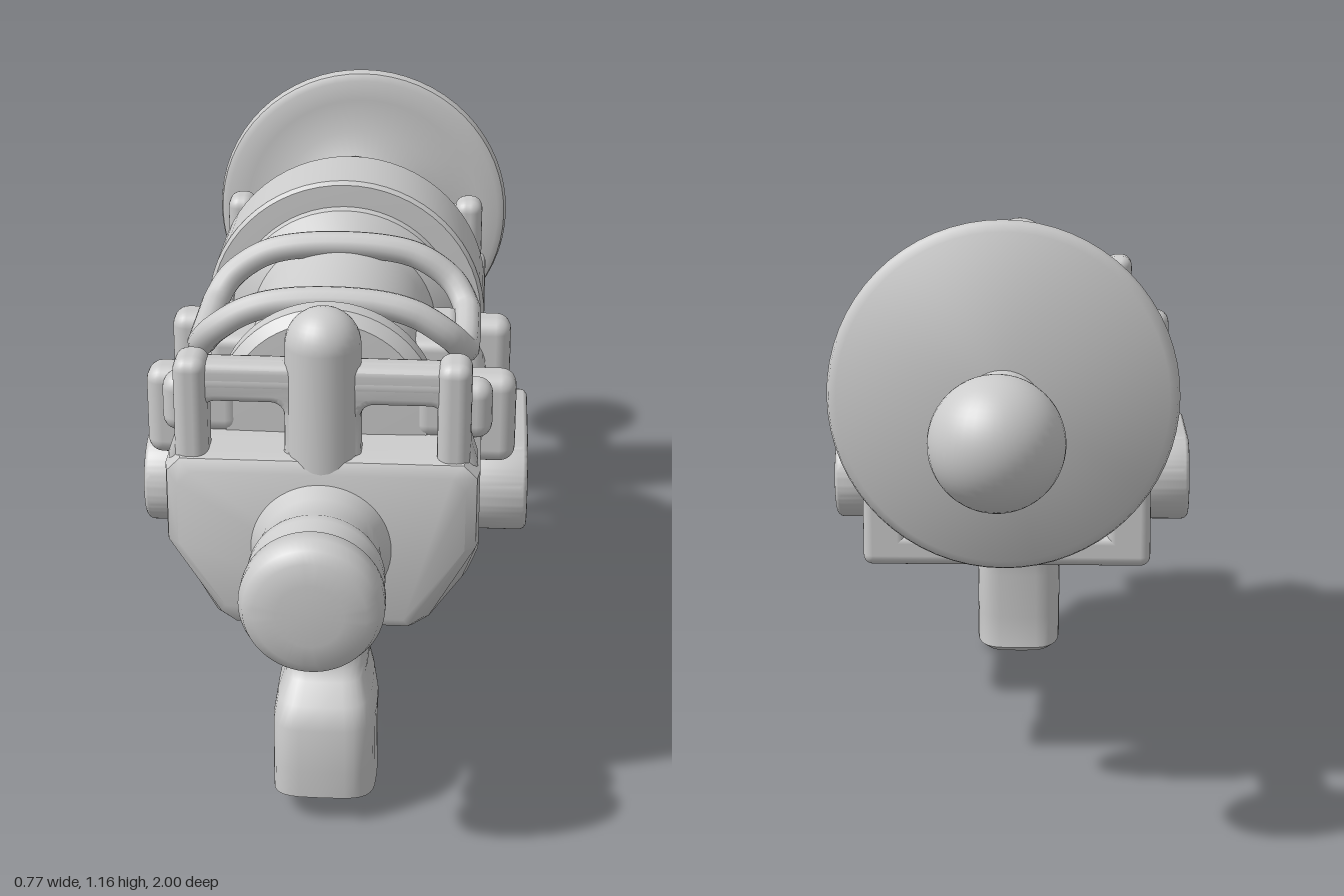
import * as THREE from 'three';
import { toCreasedNormals } from 'three/addons/utils/BufferGeometryUtils.js';
import { RoundedBoxGeometry } from 'three/addons/geometries/RoundedBoxGeometry.js';

const grey = new THREE.MeshStandardMaterial({ color: 0xcccccc });

export function createModel() {
  const model = new THREE.Group();
  const add = (name, geo, x = 0, y = 0, z = 0) => {
    const m = new THREE.Mesh(geo, grey);
    m.name = name;
    m.position.set(x, y, z);
    model.add(m);
    return m;
  };
  // Rounded box given by its extents
  const box = (name, x0, x1, y0, y1, z0, z1, r = 0.02) =>
    add(name, new RoundedBoxGeometry(x1 - x0, y1 - y0, z1 - z0, 3, r),
      (x0 + x1) / 2, (y0 + y1) / 2, (z0 + z1) / 2);
  // Turned part on the z axis, profile of [radius, z] with z rising
  const turned = (name, y, profile, crease = 0.6) => {
    const g = new THREE.LatheGeometry(profile.map(p => new THREE.Vector2(...p)), 64);
    g.rotateX(Math.PI / 2);
    return add(name, toCreasedNormals(g, crease), 0, y, 0);
  };
  // Skin over rings of equal point count, closed at both ends
  const loft = (rings, crease) => {
    const n = rings[0].length, pos = [], idx = [];
    rings.forEach(r => r.forEach(p => pos.push(...p)));
    for (let i = 0; i < rings.length - 1; i++)
      for (let j = 0; j < n; j++) {
        const k = (j + 1) % n, a = i * n + j, b = i * n + k;
        idx.push(a, b, b + n, a, b + n, a + n);
      }
    const last = (rings.length - 1) * n;
    for (let j = 1; j < n - 1; j++) idx.push(0, j + 1, j, last, last + j, last + j + 1);
    const g = new THREE.BufferGeometry();
    g.setAttribute('position', new THREE.Float32BufferAttribute(pos, 3));
    g.setIndex(idx);
    return toCreasedNormals(g, crease);
  };
  const roundedShape = (Type, w, h, r, cx = 0, cy = 0) => {
    const s = new Type(), x = w / 2 - r, y = h / 2 - r;
    s.absarc(cx + x, cy + y, r, 0, Math.PI / 2);
    s.absarc(cx - x, cy + y, r, Math.PI / 2, Math.PI);
    s.absarc(cx - x, cy - y, r, Math.PI, Math.PI * 1.5);
    s.absarc(cx + x, cy - y, r, Math.PI * 1.5, Math.PI * 2);
    s.closePath();
    return s;
  };

  // Tray body: z, bottom half width, side half width, bottom, chamfer height, top
  const bodyRings = [
    [-0.31, 0.27, 0.29, 0.445, 0.48, 0.655], [0.4, 0.28, 0.29, 0.44, 0.48, 0.655],
    [0.53, 0.27, 0.29, 0.43, 0.5, 0.66], [0.55, 0.26, 0.29, 0.425, 0.52, 0.77],
    [0.7, 0.2, 0.29, 0.42, 0.6, 0.77], [0.725, 0.19, 0.285, 0.43, 0.6, 0.765],
    [0.74, 0.18, 0.265, 0.45, 0.6, 0.745],
  ].map(([z, b, w, y0, ym, y1]) => {
    const right = [[b * 0.85, y0], [b, y0 + 0.02], [w, ym], [w, y1 - 0.025], [w - 0.025, y1]];
    const left = right.map(([x, y]) => [-x, y]).reverse();
    return [...right, ...left].map(([x, y]) => [x, y, z]);
  });
  add('body', loft(bodyRings, 0.7));
  box('rearLip', -0.29, 0.29, 0.445, 0.51, -0.36, -0.28);

  // Pistol grip: y, back z, front z, half width, slant of the section
  const gripRings = [
    [0.025, 0.51, 0.74, 0.085, 0.045], [0.035, 0.5, 0.755, 0.1, 0.045], [0.1, 0.51, 0.755, 0.1, 0.03],
    [0.2, 0.49, 0.75, 0.1, 0.01], [0.25, 0.495, 0.735, 0.092, 0], [0.28, 0.48, 0.69, 0.08, 0],
    [0.3, 0.455, 0.675, 0.083, 0], [0.34, 0.445, 0.665, 0.085, 0], [0.38, 0.43, 0.69, 0.09, 0],
    [0.41, 0.4, 0.71, 0.11, 0], [0.45, 0.37, 0.72, 0.14, 0],
  ].map(([y, z0, z1, w, slant]) => Array.from({ length: 32 }, (_, i) => {
    const a = i / 32 * Math.PI * 2;
    const soft = t => Math.sign(t) * Math.abs(t) ** 0.5;
    const s = -soft(Math.sin(a));
    return [w * soft(Math.cos(a)), y + slant * s * 0.55, (z0 + z1) / 2 + s * (z1 - z0) / 2];
  }));
  add('grip', loft(gripRings, 0.9));

  // Muzzle
  turned('muzzle', 0.595, [[0.13, 0.7], [0.13, 0.74], [0.112, 0.76], [0.115, 0.82], [0.125, 0.85],
    [0.125, 0.87], [0.115, 0.89], [0.118, 0.91], [0.13, 0.925], [0.13, 0.955], [0.12, 0.98],
    [0.1, 0.993], [0.06, 0.998], [0, 1]], 1);

  // Barrel, front flange and large drum
  turned('barrel', 0.8, [[0.24, 0.06], [0.235, 0.09], [0.19, 0.12], [0.18, 0.15], [0.18, 0.52],
    [0.19, 0.53], [0.21, 0.545], [0.21, 0.585], [0.19, 0.605], [0, 0.61]]);
  turned('drum', 0.8, [[0, -0.165], [0.17, -0.165], [0.2, -0.155], [0.27, -0.122], [0.283, -0.118],
    [0.29, -0.11], [0.29, 0.06], [0.283, 0.07], [0.24, 0.072], [0, 0.072]]);

  // Rear neck, dish, rod and ball
  turned('rearNeck', 0.8, [[0.028, -0.46], [0.035, -0.42], [0.06, -0.395], [0.115, -0.38],
    [0.13, -0.365], [0.13, -0.32], [0.11, -0.3], [0.075, -0.285], [0.075, -0.235],
    [0.12, -0.215], [0.14, -0.16]], 1);
  turned('dish', 0.828, [[0, -0.575], [0.315, -0.575], [0.33, -0.565], [0.335, -0.55], [0.33, -0.53],
    [0.315, -0.522], [0.27, -0.525], [0.2, -0.517], [0.13, -0.495], [0.07, -0.455], [0.035, -0.425]], 0.8);
  turned('rod', 0.805, [[0.055, -0.83], [0.056, -0.64], [0.062, -0.6], [0.08, -0.572]]);
  add('ball', new THREE.SphereGeometry(0.122, 40, 28), 0, 0.805, -0.878);

  // Front and rear sights: a crossbar with a domed centre pillar
  for (const [name, z] of [['frontSight', 0.67], ['rearSight', -0.255]]) {
    const bar = new THREE.CapsuleGeometry(0.036, 0.46, 8, 20);
    bar.rotateZ(Math.PI / 2);
    add(name + 'Bar', bar, 0, 0.905, z);
    const front = z > 0;
    const r = front ? 0.07 : 0.045;
    const pillar = new THREE.CapsuleGeometry(r, front ? 0.26 : 0.15, 10, 28);
    add(name + 'Pillar', pillar, 0, 1.045 - r - (front ? 0.13 : 0.075), z);
  }

  // Front plate with two windows
  const plate = new THREE.Shape();
  [[-0.27, 0.7], [0.27, 0.7], [0.27, 0.76], [0.25, 0.82], [0.245, 0.925], [-0.245, 0.925],
    [-0.25, 0.82], [-0.27, 0.76]].forEach(([x, y], i) => i ? plate.lineTo(x, y) : plate.moveTo(x, y));
  for (const s of [-1, 1])
    plate.holes.push(roundedShape(THREE.Path, 0.18, 0.145, 0.04, s * 0.145, 0.81));
  const plateGeo = new THREE.ExtrudeGeometry(plate, {
    depth: 0.04, bevelThickness: 0.015, bevelSize: 0.015, bevelSegments: 3, curveSegments: 8 });
  add('frontPlate', toCreasedNormals(plateGeo, 0.7), 0, 0, 0.65);

  // Rounded cage frame wrapped over the barrel
  const quarter = [[0.08, 0.985, 0.485], [0.16, 0.965, 0.485], [0.225, 0.92, 0.475],
    [0.253, 0.88, 0.44], [0.257, 0.87, 0.39]];
  const flip = ([x, y, z]) => [x, y, 0.65 - z];
  const half = [...quarter, ...quarter.map(flip).reverse()];
  const loop = [...half, ...half.map(([x, y, z]) => [-x, y, z]).reverse()];
  const path = new THREE.CatmullRomCurve3(loop.map(p => new THREE.Vector3(...p)), true);
  add('cageFrame', new THREE.TubeGeometry(path, 120, 0.027, 12, true));

  // Mirrored side parts
  for (const [side, s] of [['left', 1], ['right', -1]]) {
    const both = (name, x0, x1, ...rest) =>
      box(side + name, Math.min(s * x0, s * x1), Math.max(s * x0, s * x1), ...rest);
    both('FrontPost', 0.21, 0.272, 0.72, 0.955, 0.63, 0.72, 0.025);
    both('FlangeLug', 0.16, 0.31, 0.76, 0.875, 0.54, 0.61, 0.03);
    both('RearCorner', 0.2, 0.29, 0.45, 0.8, -0.36, -0.2);
    both('RearPost', 0.22, 0.28, 0.74, 0.955, -0.295, -0.22, 0.025);
    both('FrontClamp', 0.2, 0.355, 0.67, 0.85, 0.435, 0.515, 0.03);
    both('RearClamp', 0.2, 0.345, 0.67, 0.85, 0.145, 0.225, 0.03);
    both('CagePanel', 0.11, 0.24, 0.76, 0.885, 0.22, 0.43);

    // Side rail between the clamps
    const rail = new THREE.CylinderGeometry(0.075, 0.075, 0.46, 32);
    rail.rotateX(Math.PI / 2);
    add(side + 'Rail', rail, s * 0.22, 0.755, 0.3);

    // Oval pod with a recessed face
    const rim = roundedShape(THREE.Shape, 0.4, 0.16, 0.079);
    rim.holes.push(roundedShape(THREE.Path, 0.34, 0.16 - 0.01, 0.07));
    rim.holes[0] = roundedShape(THREE.Path, 0.35, 0.15, 0.07);
    rim.holes[0] = roundedShape(THREE.Path, 0.33, 0.14, 0.065);
    rim.holes = [roundedShape(THREE.Path, 0.34, 0.145, 0.07)];
    const pod = new THREE.ExtrudeGeometry(rim, {
      depth: 0.12, bevelThickness: 0.015, bevelSize: 0.015, bevelSegments: 4, curveSegments: 12 });
    pod.translate(0, 0, 0.25);
    pod.rotateY(s * Math.PI / 2);
    add(side + 'PodRim', toCreasedNormals(pod, 0.7), 0, 0.54, 0.195);
    const face = new THREE.ExtrudeGeometry(roundedShape(THREE.Shape, 0.36, 0.15, 0.074), {
      depth: 0.11, bevelEnabled: false, curveSegments: 12 });
    face.translate(0, 0, 0.24);
    face.rotateY(s * Math.PI / 2);
    add(side + 'PodFace', toCreasedNormals(face, 0.7), 0, 0.54, 0.195);
  }

  return model;
}
